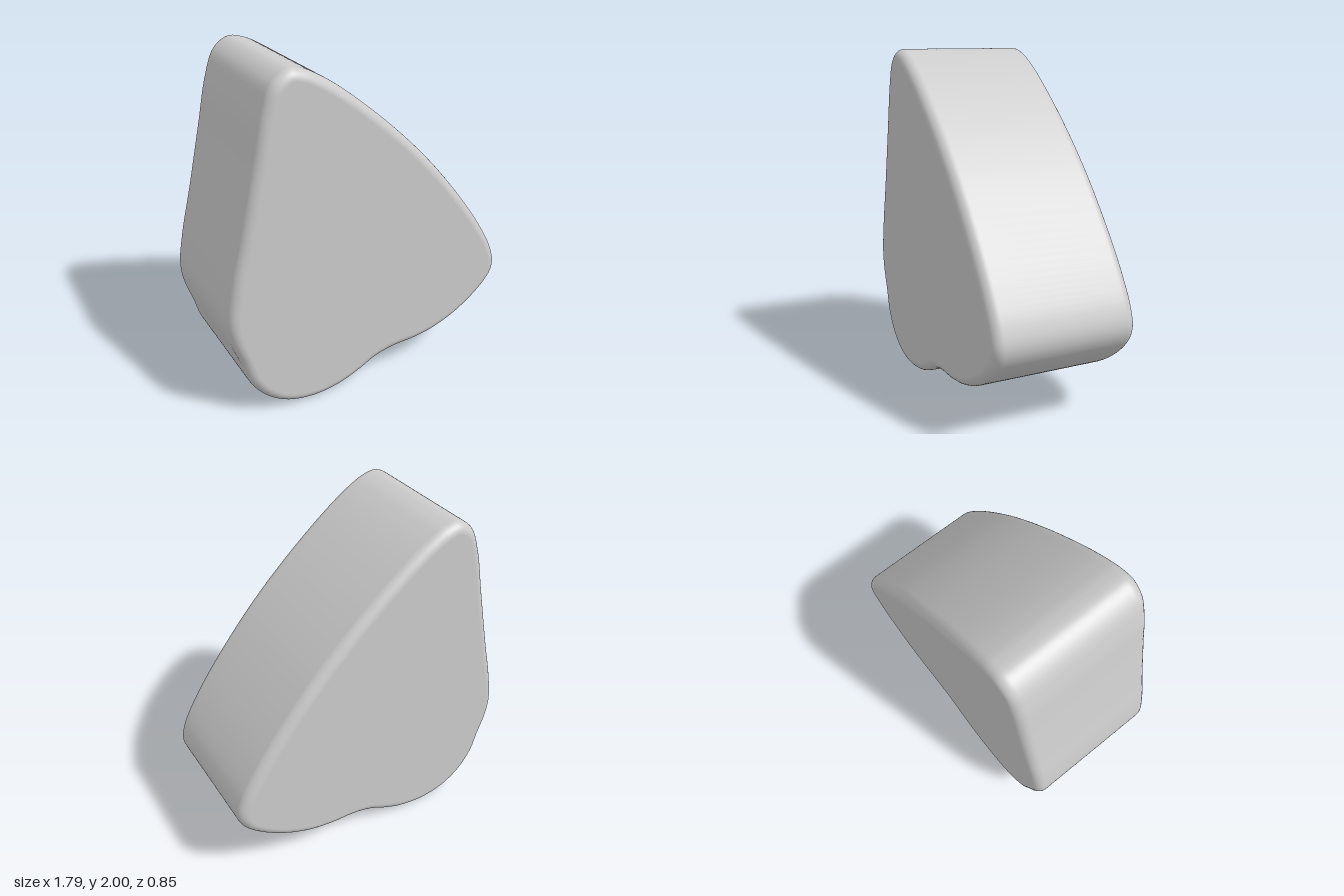
import * as THREE from 'three';

// Outline of the slab, counter-clockwise from the peak
const OUTLINE = [
  [-0.5, 2.0], [-0.59, 1.94], [-0.65, 1.79], [-0.71, 1.52], [-0.8, 1.12], [-0.865, 0.85],
  [-0.895, 0.65], [-0.878, 0.52], [-0.835, 0.39], [-0.79, 0.245], [-0.7, 0.12], [-0.57, 0.035],
  [-0.4, 0.002], [-0.22, 0.025], [-0.08, 0.08], [0.03, 0.135], [0.15, 0.163], [0.3, 0.172],
  [0.45, 0.2], [0.62, 0.27], [0.78, 0.38], [0.87, 0.48], [0.893, 0.56], [0.865, 0.67],
  [0.77, 0.84], [0.62, 1.05], [0.4, 1.315], [0.2, 1.52], [0, 1.7], [-0.2, 1.86],
  [-0.32, 1.94], [-0.41, 1.985],
];

// Sweeps the outline through its thickness with rounded front and back edges
function roundedSlab(halfDepth, radius, segments = 200, steps = 8) {
  const curve = new THREE.CatmullRomCurve3(
    OUTLINE.map(([x, y]) => new THREE.Vector3(x, y, 0)), true);
  const positions = [], normals = [], index = [];

  // Edge profile: a quarter circle at the back, then one at the front
  const profile = [];
  for (const side of [-1, 1]) {
    for (let i = 0; i <= steps; i++) {
      const a = (side < 0 ? i / steps - 1 : i / steps) * Math.PI / 2;
      profile.push({ a, z: side * (halfDepth - radius) + radius * Math.sin(a) });
    }
  }

  // One loop of vertices per profile point
  for (const { a, z } of profile) {
    const c = Math.cos(a), inset = radius * (1 - c);
    for (let j = 0; j < segments; j++) {
      const p = curve.getPoint(j / segments), t = curve.getTangent(j / segments);
      positions.push(p.x - t.y * inset, p.y + t.x * inset, z);
      normals.push(t.y * c, -t.x * c, Math.sin(a));
    }
  }
  const last = profile.length - 1;
  for (let i = 0; i < last; i++) {
    for (let j = 0; j < segments; j++) {
      const k = (j + 1) % segments;
      const a = i * segments + j, b = i * segments + k;
      index.push(a, b, b + segments, a, b + segments, a + segments);
    }
  }

  // Flat back and front faces
  const back = profile.length * segments, front = back + 1;
  positions.push(-0.2, 0.8, -halfDepth, -0.2, 0.8, halfDepth);
  normals.push(0, 0, -1, 0, 0, 1);
  for (let j = 0; j < segments; j++) {
    const k = (j + 1) % segments;
    index.push(back, k, j, front, last * segments + j, last * segments + k);
  }

  const geometry = new THREE.BufferGeometry();
  geometry.setAttribute('position', new THREE.Float32BufferAttribute(positions, 3));
  geometry.setAttribute('normal', new THREE.Float32BufferAttribute(normals, 3));
  geometry.setIndex(index);
  return geometry;
}

export function createModel() {
  const group = new THREE.Group();
  group.name = 'roundedSlabModel';
  const body = new THREE.Mesh(
    roundedSlab(0.425, 0.06),
    new THREE.MeshStandardMaterial({ color: 0xcccccc }));
  body.name = 'body';
  group.add(body);
  return group;
}
